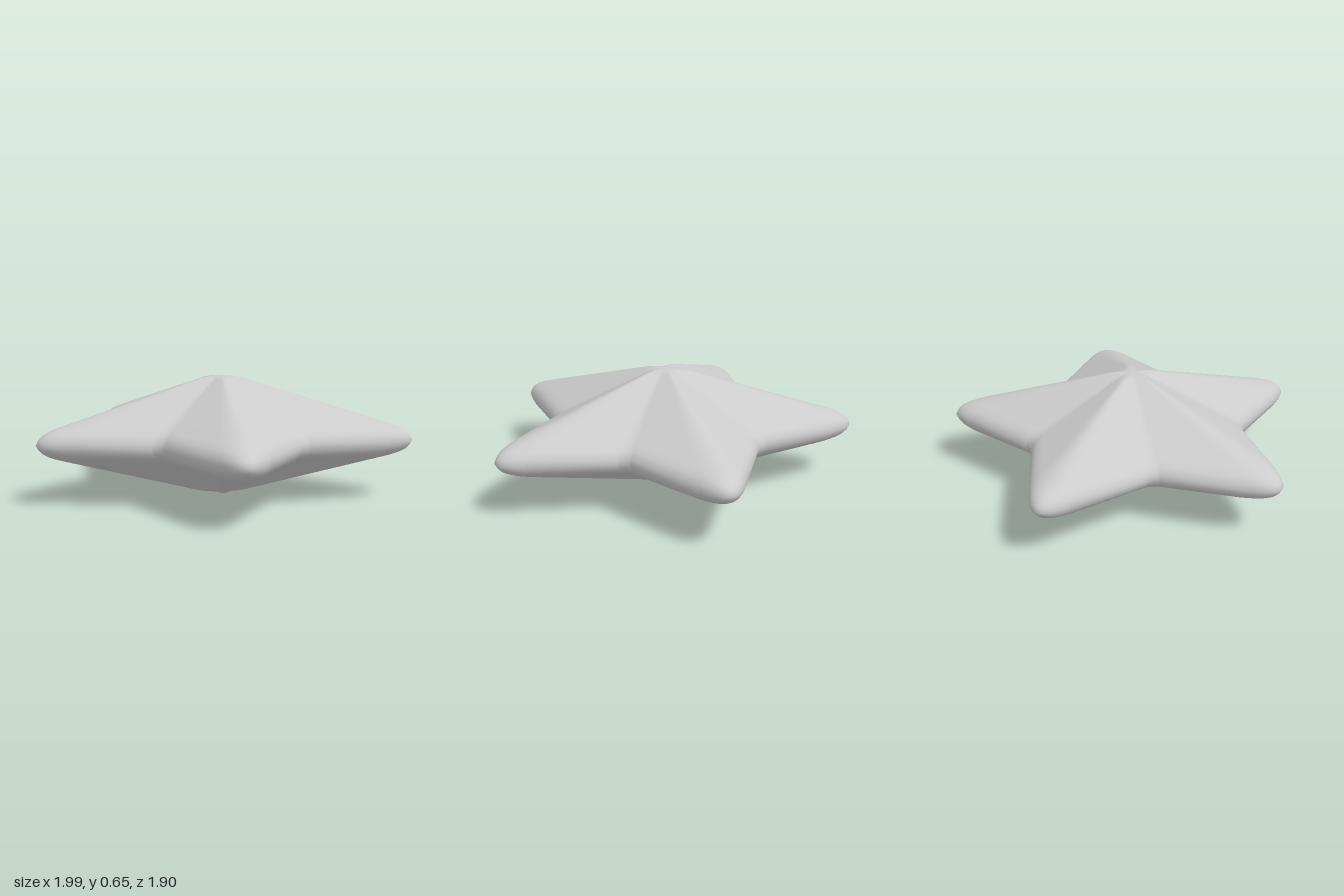
import * as THREE from 'three';
import { mergeVertices } from 'three/addons/utils/BufferGeometryUtils.js';

const ARMS = 5;
const TIP = 1.14;      // radius of the unrounded arm tips
const NOTCH = 0.623;   // radius of the unrounded inner corners
const MID_Y = 0.326;
const MID_Z = 0.09;

// Half profile: [scale of the outline, height above the middle plane]
const PROFILE = [
  [0, 0.326], [0.045, 0.3255], [0.075, 0.323], [0.1, 0.319], [0.13, 0.312], [0.16, 0.303],
  [0.5, 0.2], [0.88, 0.085], [0.915, 0.073], [0.945, 0.06], [0.97, 0.045], [0.988, 0.025], [1, 0],
];

// Star outline with broadly rounded tips and tightly rounded notches
function starOutline() {
  const corner = (i) => {
    const angle = -Math.PI / 2 + (i * Math.PI) / ARMS;
    const r = i % 2 === 0 ? TIP : NOTCH;
    return new THREE.Vector2(Math.cos(angle) * r, Math.sin(angle) * r);
  };
  const points = [];
  for (let i = 0; i < ARMS * 2; i++) {
    const isTip = i % 2 === 0;
    const c = corner(i);
    const cut = isTip ? 0.344 : 0.06;
    const pull = isTip ? 0.75 : 0.6;
    const start = c.clone().lerp(corner(i - 1), cut);
    const end = c.clone().lerp(corner(i + 1), cut);
    const curve = new THREE.CubicBezierCurve(
      start, start.clone().lerp(c, pull), end.clone().lerp(c, pull), end);
    points.push(...curve.getPoints(isTip ? 20 : 6));
  }
  return points;
}

// Stack scaled copies of the outline from the top pole to the bottom pole
function starGeometry() {
  const outline = starOutline();
  const n = outline.length;
  const lower = PROFILE.slice(0, -1).reverse().map(([s, y]) => [s, -y]);
  const rings = [...PROFILE, ...lower];
  const positions = [];
  const index = [];
  rings.forEach(([s, y], j) => {
    outline.forEach((p, i) => {
      positions.push(p.x * s, y, p.y * s);
      if (j === rings.length - 1) return;
      const a = j * n + i;
      const b = j * n + ((i + 1) % n);
      if (j > 0) index.push(a, b, a + n);
      if (j < rings.length - 2) index.push(b, b + n, a + n);
      if (j === 0) index.pop(), index.pop(), index.pop(), index.push(a, b + n, a + n);
    });
  });
  const geometry = new THREE.BufferGeometry();
  geometry.setAttribute('position', new THREE.Float32BufferAttribute(positions, 3));
  geometry.setIndex(index);
  const merged = mergeVertices(geometry, 1e-5);
  merged.computeVertexNormals();
  return merged;
}

export function createModel() {
  const group = new THREE.Group();
  group.name = 'roundedStar';
  const star = new THREE.Mesh(starGeometry(), new THREE.MeshStandardMaterial({ color: 0xcccccc }));
  star.name = 'starBody';
  star.position.set(0, MID_Y, MID_Z);
  group.add(star);
  return group;
}
